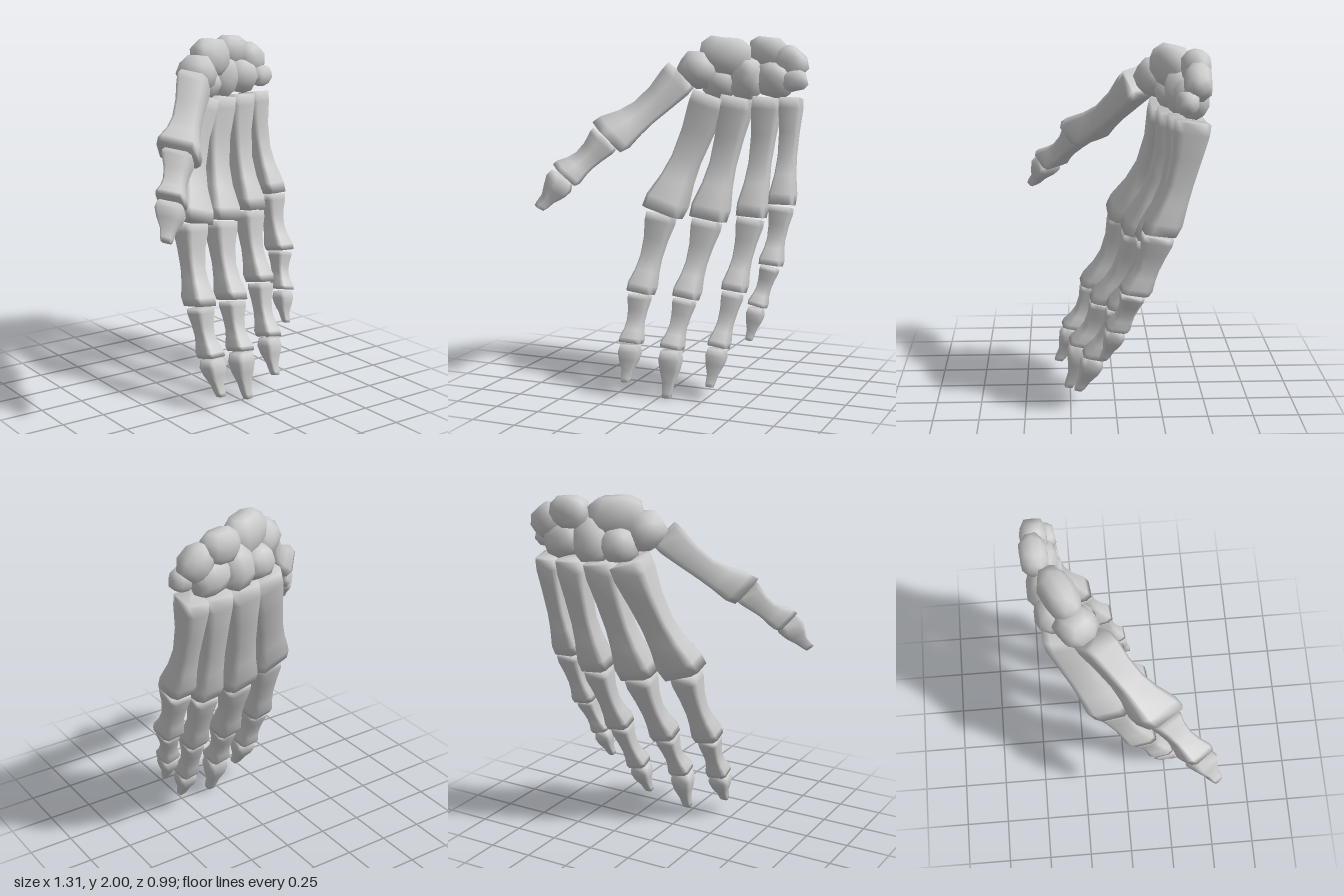
import * as THREE from 'three';
import { mergeVertices } from 'three/addons/utils/BufferGeometryUtils.js';

const material = new THREE.MeshStandardMaterial({ color: 0xcccccc });

// Chamfered rectangle used as the cross-section of every long bone
const SECTION = [[1, -0.62], [1, 0.62], [0.74, 1], [-0.74, 1], [-1, 0.62], [-1, -0.62], [-0.74, -1], [0.74, -1]];

// [position along the bone, thickness factor]
const SHAFT = [[0, 0.98], [0.1, 0.98], [0.32, 0.8], [0.55, 0.73], [0.72, 0.82], [0.9, 1.03], [1, 0.98]];
const TIP = [[0, 0.88], [0.2, 1.03], [0.42, 0.85], [0.68, 0.52], [0.9, 0.44], [1, 0.36]];

// Closed loft from a to b; sizeA and sizeB are half width and half depth at the ends
function bone(name, a, b, sizeA, sizeB, profile, sideHint) {
  const start = new THREE.Vector3(...a), end = new THREE.Vector3(...b);
  const d = end.clone().sub(start);
  const bow = 0.05 * d.length();
  d.normalize();
  start.addScaledVector(d, 0.006);
  end.addScaledVector(d, -0.006);
  // the ends are cut a little flatter than square to the shaft
  const cut = d.clone().multiply(new THREE.Vector3(1, 1, 0.5)).normalize();
  const u = new THREE.Vector3(...sideHint);
  u.addScaledVector(cut, -u.dot(cut)).normalize();
  const v = cut.clone().cross(u);
  const n = SECTION.length, positions = [], index = [];
  for (const [t, k] of profile) {
    const c = start.clone().lerp(end, t).addScaledVector(v, -bow * Math.sin(Math.PI * t));
    const w = THREE.MathUtils.lerp(sizeA[0], sizeB[0], t) * k;
    const h = THREE.MathUtils.lerp(sizeA[1], sizeB[1], t) * k;
    for (const [x, y] of SECTION) {
      positions.push(...c.clone().addScaledVector(u, x * w).addScaledVector(v, y * h).toArray());
    }
  }
  const last = (profile.length - 1) * n;
  for (let i = 0; i < last; i += n) {
    for (let j = 0; j < n; j++) {
      const p = i + j, q = i + (j + 1) % n;
      index.push(p, q, p + n, q, q + n, p + n);
    }
  }
  // end caps
  for (let j = 1; j < n - 1; j++) {
    index.push(0, j + 1, j, last, last + j, last + j + 1);
  }
  const geometry = new THREE.BufferGeometry();
  geometry.setAttribute('position', new THREE.Float32BufferAttribute(positions, 3));
  geometry.setIndex(index);
  geometry.computeVertexNormals();
  const mesh = new THREE.Mesh(geometry, material);
  mesh.name = name;
  return mesh;
}

// Chain of bones through the joints
function digit(name, parts, joints, sizes, sideHint = [1, 0, -0.12]) {
  const group = new THREE.Group();
  group.name = name;
  parts.forEach((part, i) => {
    const profile = i === parts.length - 1 ? TIP : SHAFT;
    group.add(bone(part, joints[i], joints[i + 1], sizes[i][0], sizes[i][1], profile, sideHint));
  });
  return group;
}

// Rounded, slightly irregular block
function carpal(name, center, half, rotation, seed) {
  let geometry = new THREE.IcosahedronGeometry(1, 1);
  geometry.deleteAttribute('normal');
  geometry.deleteAttribute('uv');
  geometry = mergeVertices(geometry);
  const pos = geometry.attributes.position, p = new THREE.Vector3();
  for (let i = 0; i < pos.count; i++) {
    p.fromBufferAttribute(pos, i);
    const norm = (p.x ** 4 + p.y ** 4 + p.z ** 4) ** 0.25;
    p.multiplyScalar((1 + 0.04 * Math.sin(i * 2.3 + seed * 1.7)) / norm);
    pos.setXYZ(i, p.x * half[0], p.y * half[1], p.z * half[2]);
  }
  geometry.computeVertexNormals();
  const mesh = new THREE.Mesh(geometry, material);
  mesh.name = name;
  mesh.position.set(...center);
  mesh.rotation.set(...rotation);
  return mesh;
}

export function createModel() {
  const model = new THREE.Group();
  model.name = 'handSkeleton';
  const four = ['metacarpal', 'proximalPhalanx', 'middlePhalanx', 'distalPhalanx'];

  // Fingers
  model.add(digit('indexFinger', four,
    [[0.09, 1.66, -0.31], [-0.122, 0.99, -0.07], [-0.18, 0.55, 0.11], [-0.185, 0.285, 0.23], [-0.18, 0.08, 0.32]],
    [[[0.1, 0.108], [0.112, 0.105]], [[0.08, 0.086], [0.072, 0.08]],
      [[0.06, 0.068], [0.06, 0.068]], [[0.058, 0.062], [0.058, 0.062]]]));
  model.add(digit('middleFinger', four,
    [[0.24, 1.65, -0.34], [0.132, 0.955, -0.14], [0.075, 0.53, 0.06], [0.045, 0.265, 0.19], [0.045, 0.0, 0.262]],
    [[[0.09, 0.105], [0.1, 0.1]], [[0.08, 0.086], [0.068, 0.08]],
      [[0.06, 0.068], [0.06, 0.068]], [[0.06, 0.062], [0.06, 0.062]]]));
  model.add(digit('ringFinger', four,
    [[0.41, 1.65, -0.37], [0.375, 0.975, -0.195], [0.335, 0.575, -0.02], [0.297, 0.283, 0.12], [0.28, 0.075, 0.21]],
    [[[0.08, 0.095], [0.08, 0.09]], [[0.072, 0.08], [0.065, 0.074]],
      [[0.056, 0.065], [0.056, 0.065]], [[0.054, 0.058], [0.054, 0.058]]]));
  model.add(digit('littleFinger', four,
    [[0.545, 1.65, -0.39], [0.55, 1.05, -0.215], [0.53, 0.725, -0.085], [0.483, 0.508, 0.005], [0.46, 0.325, 0.075]],
    [[[0.062, 0.088], [0.07, 0.085]], [[0.064, 0.08], [0.061, 0.074]],
      [[0.05, 0.063], [0.05, 0.058]], [[0.046, 0.052], [0.046, 0.052]]]));

  // Thumb
  model.add(digit('thumb', ['metacarpal', 'proximalPhalanx', 'distalPhalanx'],
    [[-0.035, 1.78, -0.155], [-0.36, 1.435, 0.175], [-0.53, 1.235, 0.365], [-0.63, 1.06, 0.47]],
    [[[0.09, 0.088], [0.12, 0.095]], [[0.085, 0.075], [0.08, 0.072]], [[0.075, 0.065], [0.075, 0.065]]],
    [1, 0, 1]));

  // Wrist
  const wrist = new THREE.Group();
  wrist.name = 'wrist';
  [
    ['trapezium', [0.03, 1.805, -0.23], [0.1, 0.095, 0.1], [0, 0.6, -0.6]],
    ['trapezoid', [0.135, 1.735, -0.33], [0.095, 0.09, 0.1], [0.3, 0.2, -0.2]],
    ['scaphoid', [0.17, 1.885, -0.3], [0.145, 0.105, 0.085], [0, 0.45, -0.1]],
    ['capitate', [0.28, 1.755, -0.365], [0.095, 0.12, 0.1], [0.2, 0, -0.12]],
    ['hamate', [0.445, 1.75, -0.39], [0.105, 0.095, 0.085], [0.2, 0, -0.35]],
    ['lunate', [0.39, 1.905, -0.415], [0.103, 0.085, 0.072], [0, 0.1, -0.1]],
    ['triquetrum', [0.53, 1.845, -0.412], [0.095, 0.08, 0.07], [0, 0, -0.8]],
    ['pisiform', [0.575, 1.745, -0.355], [0.068, 0.058, 0.052], [0, 0.2, 0.2]],
  ].forEach((row, i) => wrist.add(carpal(...row, i)));
  model.add(wrist);
  return model;
}
